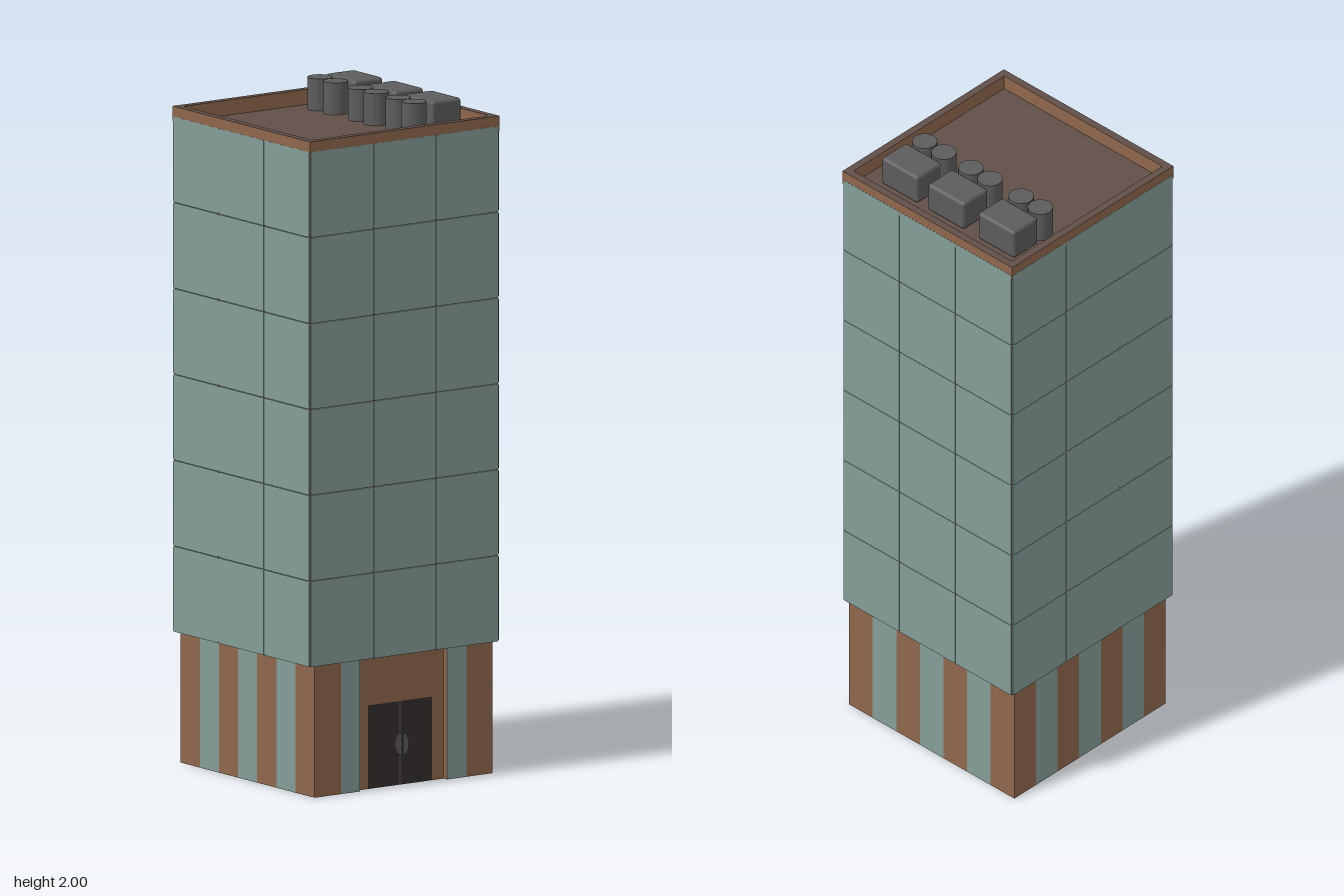
import * as THREE from 'three';
import { RoundedBoxGeometry } from 'three/addons/geometries/RoundedBoxGeometry.js';

const mat = (name, color, side = THREE.FrontSide) => {
  const m = new THREE.MeshStandardMaterial({ color, side });
  m.name = name;
  return m;
};

// Rounded rectangle outline centred on the origin
function panelShape(w, h, r) {
  const x = w / 2, y = h / 2;
  const s = new THREE.Shape();
  s.moveTo(-x + r, -y);
  s.lineTo(x - r, -y).quadraticCurveTo(x, -y, x, -y + r);
  s.lineTo(x, y - r).quadraticCurveTo(x, y, x - r, y);
  s.lineTo(-x + r, y).quadraticCurveTo(-x, y, -x, y - r);
  s.lineTo(-x, -y + r).quadraticCurveTo(-x, -y, -x + r, -y);
  return s;
}

export function createModel() {
  const brown = mat('brownWall', 0x8e664c);
  const brownThin = mat('brownBaseWall', 0x8e664c, THREE.DoubleSide);
  const glass = mat('paleGlass', 0x849d97);
  const glassThin = mat('paleBaseGlass', 0x849d97, THREE.DoubleSide);
  const roof = mat('darkRoof', 0x614f48);
  const dark = mat('darkDoor', 0x352d2d, THREE.DoubleSide);
  const grey = mat('greyMetal', 0x5c5c5c);

  const model = new THREE.Group();
  model.name = 'tower';
  const add = (parent, name, geo, material, x = 0, y = 0, z = 0) => {
    const m = new THREE.Mesh(geo, material);
    m.name = name;
    m.position.set(x, y, z);
    parent.add(m);
    return m;
  };

  const B = 0.39, T = 1.92, FLOOR = 1.905, TOP = 1.95, H = 0.338;

  // Tower core: brown sides, dark roof floor and underside
  add(model, 'towerCore', new THREE.BoxGeometry(2 * H, FLOOR - B, 2 * H),
    [brown, brown, roof, dark, brown, brown], 0, (B + FLOOR) / 2, 0);

  // Parapet ring
  const ring = panelShape(0.682, 0.682, 0.001);
  ring.holes.push(panelShape(0.636, 0.636, 0.001));
  const parapetGeo = new THREE.ExtrudeGeometry(ring, { depth: TOP - FLOOR, bevelEnabled: false });
  parapetGeo.rotateX(-Math.PI / 2);
  add(model, 'parapet', parapetGeo, [roof, brown], 0, FLOOR, 0);

  // Glass panels, three across and six up on every side
  const pw = 2 * H / 3, ph = (T - B) / 6;
  const panelGeo = new THREE.ExtrudeGeometry(panelShape(pw - 0.0015, ph - 0.0015, 0.005),
    { depth: 0.004, bevelEnabled: false, curveSegments: 3 });
  for (let s = 0; s < 4; s++) {
    const side = new THREE.Group();
    side.name = 'glassSide';
    side.rotation.y = s * Math.PI / 2;
    for (let c = -1; c <= 1; c++)
      for (let r = 0; r < 6; r++)
        add(side, 'glassPanel', panelGeo, glass, c * pw, B + (r + 0.5) * ph, H - 0.0005);
    model.add(side);
  }

  // Upright wall strip from x0 to x1 and y0 to y1 at depth z
  const strip = (parent, name, material, x0, x1, y0, y1, z) =>
    add(parent, name, new THREE.PlaneGeometry(x1 - x0, y1 - y0), material,
      (x0 + x1) / 2, (y0 + y1) / 2, z);

  // Striped base walls: two sides and the back, open underneath
  const X = 0.32, Z0 = -0.33, Z1 = 0.335;
  const wall = (name, angle, half, depth, offset) => {
    const g = new THREE.Group();
    g.name = name;
    g.rotation.y = angle;
    g.position.z = offset;
    const w = 2 * half / 7;
    for (let i = 0; i < 7; i++)
      strip(g, i % 2 ? 'baseWindow' : 'basePillar', i % 2 ? glassThin : brownThin,
        -half + i * w, -half + (i + 1) * w, 0, B, depth);
    model.add(g);
  };
  const mid = (Z0 + Z1) / 2, halfZ = (Z1 - Z0) / 2;
  wall('baseLeft', Math.PI / 2, halfZ, X, mid);
  wall('baseRight', -Math.PI / 2, halfZ, X, mid);
  wall('baseBack', Math.PI, X, -Z0, 0);

  // Front of the base: corner pillars and windows, slightly recessed entrance
  const front = new THREE.Group();
  front.name = 'baseFront';
  model.add(front);
  const IN = 0.157, ZR = 0.318, DOOR = 0.115, DH = 0.248;
  for (const s of [-1, 1]) {
    const sorted = (a, b) => (s > 0 ? [a, b] : [-b, -a]);
    strip(front, 'frontPillar', brownThin, ...sorted(0.226, X), 0, B, Z1);
    strip(front, 'frontWindow', glassThin, ...sorted(IN, 0.226), 0, B, Z1);
    strip(front, 'doorSurround', brownThin, ...sorted(DOOR, IN), 0, B, ZR);
    const reveal = add(front, 'entranceReveal', new THREE.PlaneGeometry(Z1 - ZR, B),
      brownThin, s * IN, B / 2, (Z1 + ZR) / 2);
    reveal.rotation.y = Math.PI / 2;
    // Door leaf and half of the round pull plate
    strip(front, 'doorLeaf', dark, ...sorted(0.0015, DOOR), 0, DH, ZR);
    const pull = add(front, 'doorPull',
      new THREE.CylinderGeometry(0.022, 0.022, 0.006, 12, 1, false, s > 0 ? 0 : Math.PI, Math.PI),
      grey, s * 0.002 + 0.004, 0.12, ZR + 0.003);
    pull.rotation.x = Math.PI / 2;
    pull.scale.z = 1.5;
  }
  strip(front, 'doorLintel', brownThin, -DOOR, DOOR, DH, B, ZR);
  strip(front, 'doorGap', grey, -0.0015, 0.0015, 0, DH, ZR);

  // Rooftop machines: a rounded box with two tanks each
  const boxGeo = new RoundedBoxGeometry(0.105, 2 - FLOOR, 0.146, 3, 0.01);
  const tankGeo = new THREE.CylinderGeometry(0.037, 0.037, 2 - FLOOR, 24);
  const midY = (2 + FLOOR) / 2;
  for (const z of [-0.202, 0, 0.186]) {
    const unit = new THREE.Group();
    unit.name = 'roofUnit';
    unit.position.z = z;
    add(unit, 'coolingBox', boxGeo, grey, 0.212, midY, 0);
    for (const dz of [-0.041, 0.036]) add(unit, 'coolingTank', tankGeo, grey, 0.119, midY, dz);
    model.add(unit);
  }
  return model;
}
